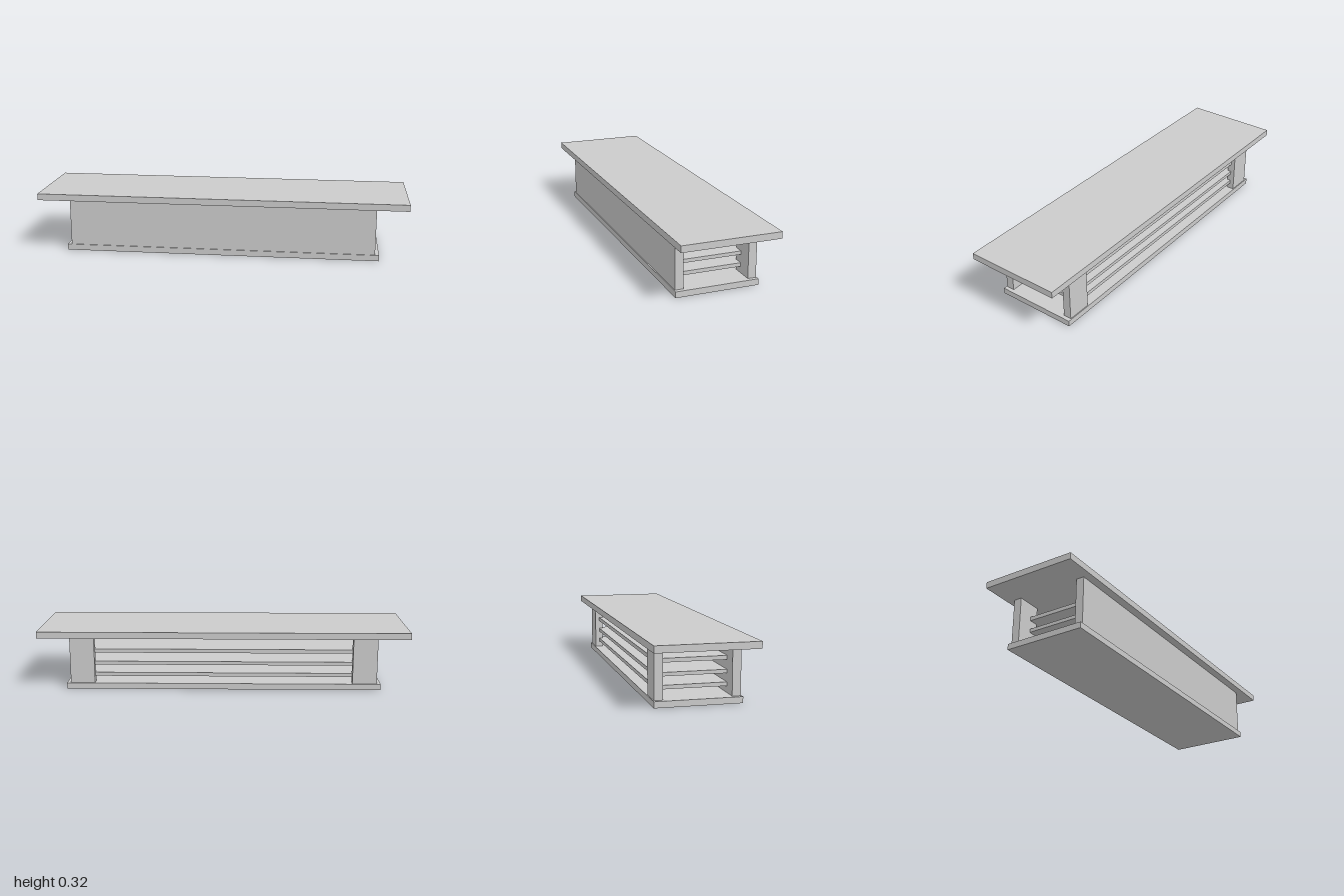
import * as THREE from 'three';

const material = new THREE.MeshStandardMaterial({ color: 0xcccccc, flatShading: true });

// Box given by its lower and upper limits on each axis
function slab(name, [x0, x1], [y0, y1], [z0, z1]) {
  const mesh = new THREE.Mesh(new THREE.BoxGeometry(x1 - x0, y1 - y0, z1 - z0), material);
  mesh.position.set((x0 + x1) / 2, (y0 + y1) / 2, (z0 + z1) / 2);
  mesh.name = name;
  return mesh;
}

export function createModel() {
  const group = new THREE.Group();
  group.name = 'counter';

  const baseTop = 0.032, topBottom = 0.289;
  const upright = [baseTop, topBottom];

  // Base plinth and overhanging top
  group.add(slab('base', [-0.853, 0.853], [0, baseTop], [-0.221, 0.221]));
  group.add(slab('counterTop', [-1, 1], [topBottom, 0.324], [-0.258, 0.258]));

  // Solid front panel
  group.add(slab('frontPanel', [-0.832, 0.832], upright, [0.172, 0.216]));

  // Rear corner posts
  group.add(slab('rearPostLeft', [0.7, 0.832], upright, [-0.216, -0.172]));
  group.add(slab('rearPostRight', [-0.832, -0.7], upright, [-0.216, -0.172]));

  // Shelves let into the panel and posts
  [[0.065, 0.085], [0.129, 0.148], [0.196, 0.217]].forEach((y, i) => {
    group.add(slab(`shelf${i + 1}`, [-0.75, 0.75], y, [-0.193, 0.193]));
  });

  return group;
}
